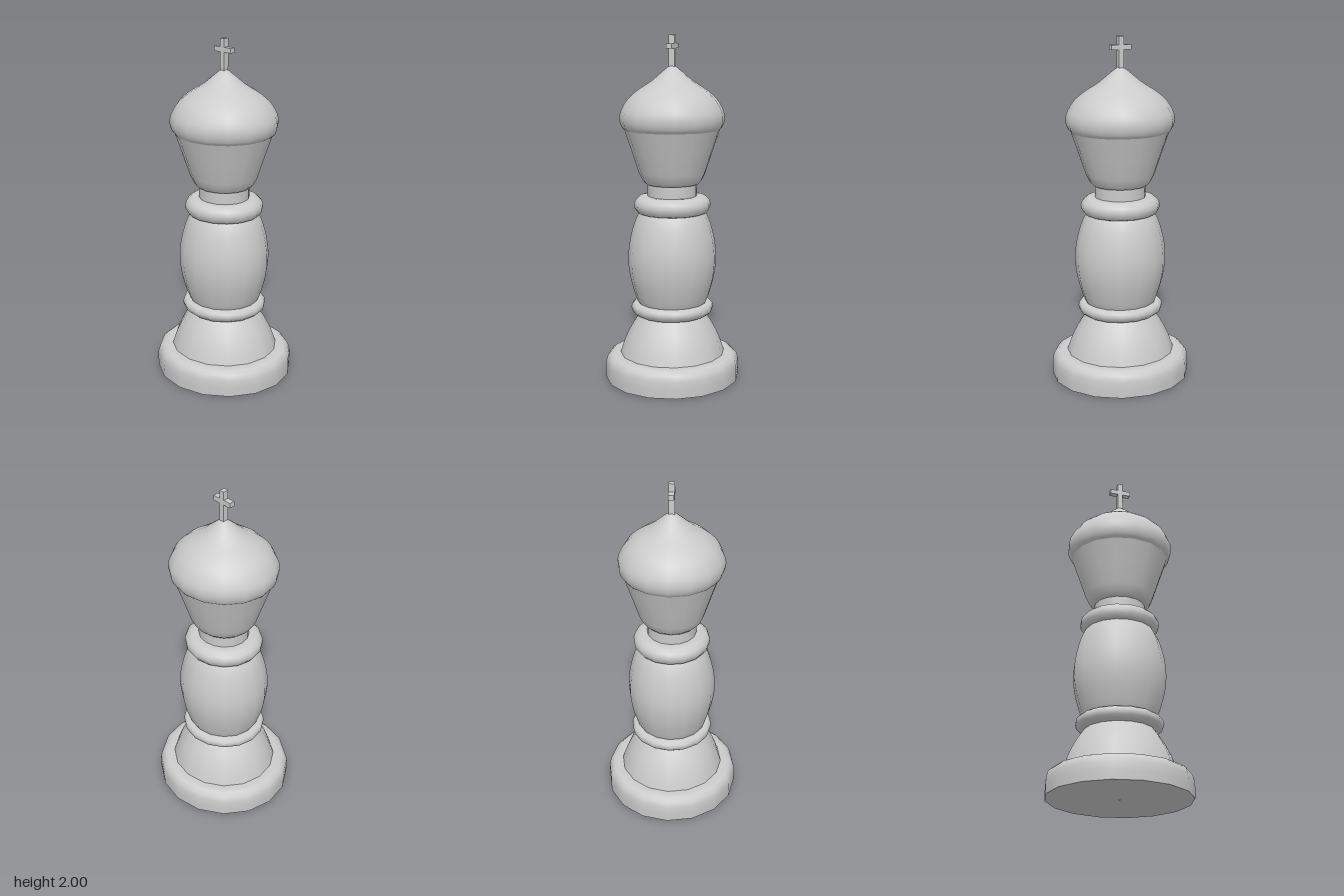
import * as THREE from 'three';

const SIDES = 16;
const DEPTH = 0.96; // the turned parts are slightly narrower front to back
const material = new THREE.MeshStandardMaterial({ color: 0xcccccc, side: THREE.DoubleSide });

// Turned part from [radius, height] points, listed from bottom to top.
// With smooth > 0 the profile is a spline sampled in that many steps.
function turned(name, profile, smooth = 0) {
  let points = profile.map(([r, y]) => new THREE.Vector2(r, y));
  if (smooth) points = new THREE.SplineCurve(points).getPoints(smooth);
  const mesh = new THREE.Mesh(new THREE.LatheGeometry(points, SIDES), material);
  mesh.name = name;
  mesh.scale.z = DEPTH;
  return mesh;
}

function block(name, w, h, d, y) {
  const mesh = new THREE.Mesh(new THREE.BoxGeometry(w, h, d), material);
  mesh.name = name;
  mesh.position.y = y;
  return mesh;
}

export function createModel() {
  const group = new THREE.Group();
  group.name = 'chessKing';

  group.add(
    // Base: flat underside with a tiny centre hole, rounded rim
    turned('baseUnderside', [[0.006, 0], [0.408, 0]]),
    turned('base', [[0.408, 0], [0.41, 0.05], [0.408, 0.095], [0.398, 0.128], [0.375, 0.147], [0.345, 0.152], [0.3, 0.15]]),

    // Flared foot
    turned('foot', [[0.318, 0.15], [0.29, 0.23], [0.25, 0.31], [0.2, 0.385]], 8),

    // Lower collar
    turned('lowerCollar', [[0.195, 0.38], [0.225, 0.388], [0.245, 0.405], [0.25, 0.425], [0.246, 0.442], [0.232, 0.456], [0.2, 0.458]]),

    // Barrel-shaped body
    turned('body', [[0.207, 0.455], [0.224, 0.495], [0.254, 0.6], [0.267, 0.71], [0.257, 0.82], [0.228, 0.93], [0.198, 0.99]], 16),

    // Upper collar
    turned('upperCollar', [[0.185, 0.982], [0.212, 0.993], [0.228, 1.015], [0.231, 1.04], [0.222, 1.062], [0.2, 1.082], [0.17, 1.087], [0.14, 1.086]]),

    // Neck
    turned('neck', [[0.148, 1.083], [0.148, 1.158]]),

    // Head: flared cup, then the pointed dome
    turned('headCup', [[0.13, 1.152], [0.158, 1.156], [0.178, 1.175], [0.2, 1.22], [0.242, 1.345], [0.285, 1.47]]),
    turned('headDome', [[0.282, 1.466], [0.299, 1.482], [0.31, 1.51], [0.312, 1.545], [0.3, 1.585], [0.265, 1.64],
      [0.205, 1.692], [0.125, 1.742], [0.06, 1.795], [0.02, 1.825], [0, 1.83]], 24)
  );

  // Cross finial
  const cross = new THREE.Group();
  cross.name = 'cross';
  cross.add(
    block('crossPost', 0.03, 0.2, 0.034, 1.9),
    block('crossArm', 0.123, 0.028, 0.033, 1.939)
  );
  group.add(cross);

  return group;
}
